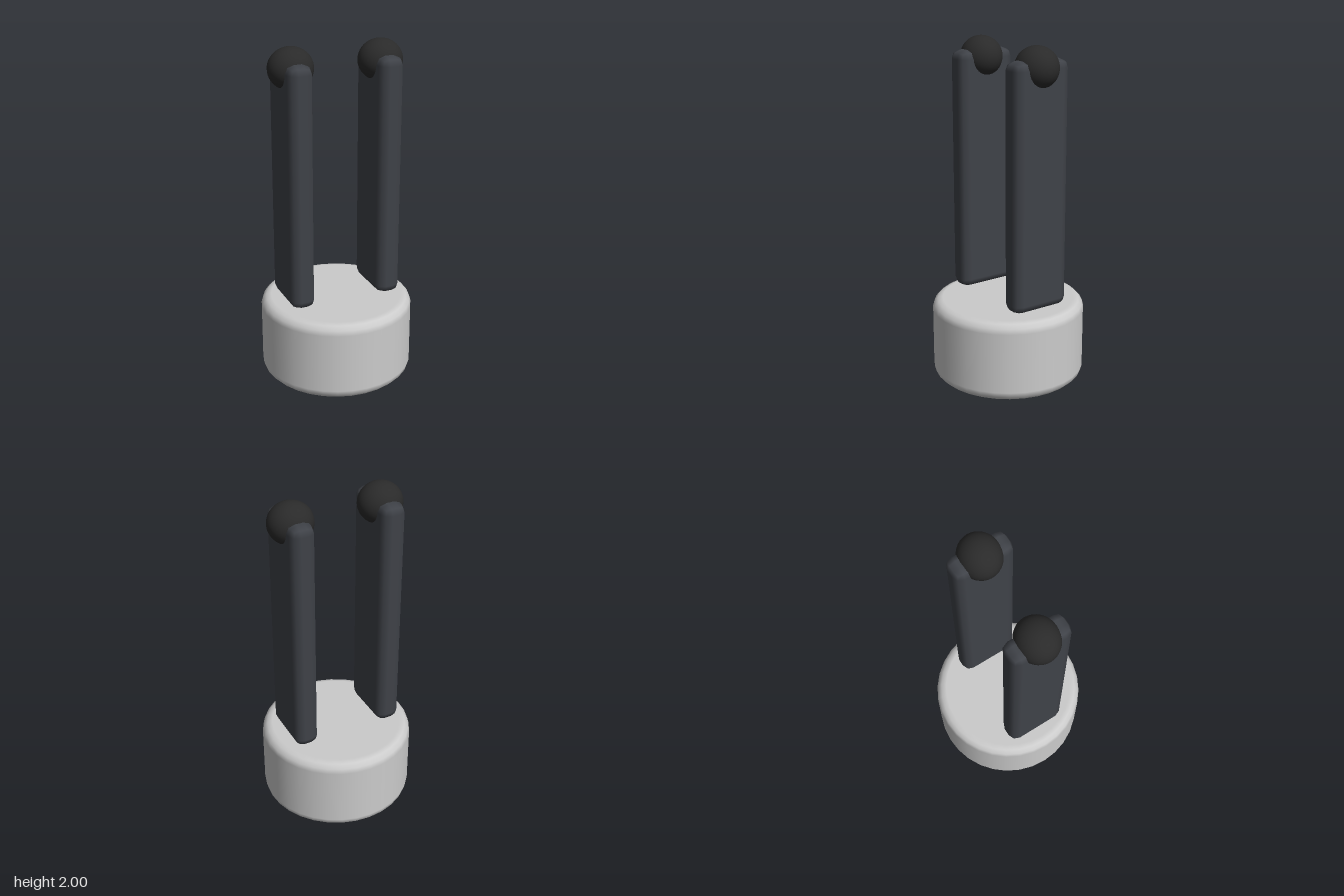
import * as THREE from 'three';
import { RoundedBoxGeometry } from 'three/addons/geometries/RoundedBoxGeometry.js';

const material = (color) => new THREE.MeshStandardMaterial({ color });

// Drum with rounded rims; normals follow the rounding so the caps stay flat
function roundedDrum(radius, height, bevel, steps) {
  const core = radius - bevel;
  const profile = [new THREE.Vector2(0, 0)];
  for (const [y, start] of [[bevel, -Math.PI / 2], [height - bevel, 0]]) {
    for (let i = 0; i <= steps; i++) {
      const a = start + (i / steps) * Math.PI / 2;
      profile.push(new THREE.Vector2(core + bevel * Math.cos(a), y + bevel * Math.sin(a)));
    }
  }
  profile.push(new THREE.Vector2(0, height));
  const geometry = new THREE.LatheGeometry(profile, 32);
  const { position, normal } = geometry.attributes;
  for (let i = 0; i < position.count; i++) {
    const x = position.getX(i), y = position.getY(i), z = position.getZ(i);
    const r = Math.hypot(x, z);
    const out = Math.max(r - core, 0) / Math.max(r, 1e-6);
    const up = y - THREE.MathUtils.clamp(y, bevel, height - bevel);
    const n = new THREE.Vector3(x * out, up, z * out).normalize();
    normal.setXYZ(i, n.x, n.y, n.z);
  }
  return geometry;
}

export function createModel() {
  const model = new THREE.Group();
  const add = (name, geometry, mat, x, y) => {
    const mesh = new THREE.Mesh(geometry, mat);
    mesh.name = name;
    mesh.position.set(x, y, 0);
    model.add(mesh);
  };

  // Round base
  add('base', roundedDrum(0.45, 0.48, 0.06, 3), material(0xcccccc), 0, 0);

  // Two upright prongs floating just above the base, each with a ball tip
  const prong = new RoundedBoxGeometry(0.144, 1.43, 0.36, 1, 0.05);
  const ball = new THREE.SphereGeometry(1, 32, 24).scale(0.13, 0.12, 0.12);
  const prongMaterial = material(0x3f4248);
  const ballMaterial = material(0x2a2a2a);
  for (const [side, s] of [['left', 1], ['right', -1]]) {
    add(side + 'Prong', prong, prongMaterial, s * 0.27, 1.21);
    add(side + 'Tip', ball, ballMaterial, s * 0.27, 1.88);
  }
  return model;
}
